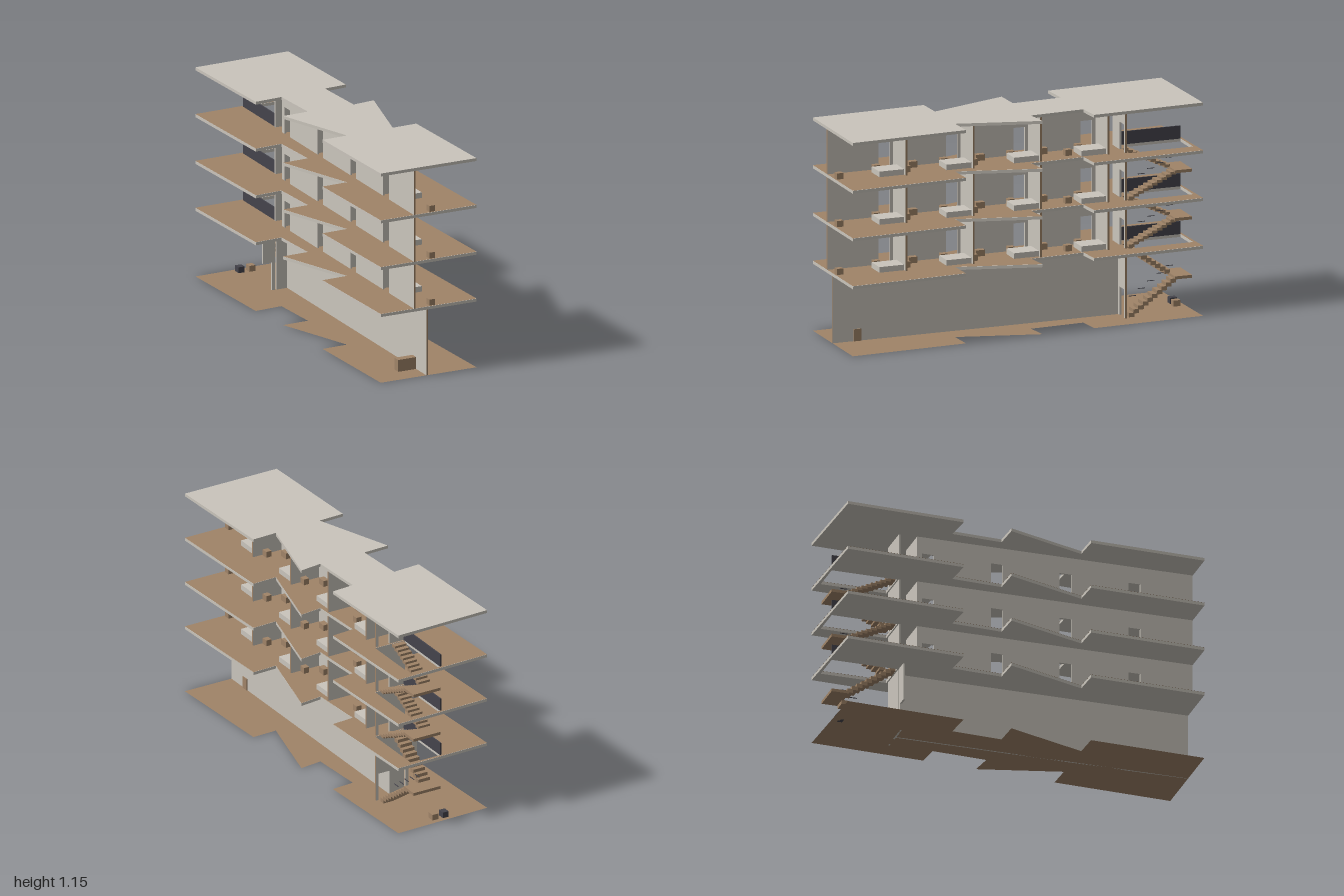
import * as THREE from 'three';

export function createModel() {
  const root = new THREE.Group();
  root.name = 'building';
  const make = (name, color, side) => {
    const m = new THREE.MeshStandardMaterial({ color });
    m.name = name;
    if (side) m.side = side;
    return m;
  };
  const concrete = make('concrete', 0xcac5bc);
  const wood = make('wood', 0xa08468, THREE.DoubleSide);
  const dark = make('darkMetal', 0x45444c);

  // Box given by its limits on each axis
  const box = (name, mat, x0, x1, y0, y1, z0, z1, parent = root) => {
    const m = new THREE.Mesh(new THREE.BoxGeometry(x1 - x0, y1 - y0, z1 - z0), mat);
    m.position.set((x0 + x1) / 2, (y0 + y1) / 2, (z0 + z1) / 2);
    m.name = name;
    parent.add(m);
    return m;
  };
  // Walls whose cut ends are timber: +x end, or +z end
  const endX = [wood, concrete, concrete, concrete, concrete, concrete];
  const endZ = [concrete, concrete, concrete, concrete, wood, concrete];

  // Floor outline, x and z
  const plan = [
    [-0.32, -0.985], [0.23, -1], [0.252, -0.38], [0.125, -0.37], [0.14, -0.07], [0.265, -0.085],
    [0.15, 0.36], [0.29, 0.355], [0.315, 1], [-0.245, 1], [-0.265, 0.37], [-0.12, 0.365],
    [-0.272, -0.07], [-0.125, -0.075], [-0.14, -0.35], [-0.295, -0.34],
  ];
  const toPoints = (list) => list.map(([x, z]) => new THREE.Vector2(x, -z));
  const planShape = (withStairwell) => {
    const s = new THREE.Shape(toPoints(plan));
    if (withStairwell) {
      s.holes.push(new THREE.Path(toPoints([[-0.04, -0.62], [0.14, -0.62], [0.14, -0.98], [-0.04, -0.98]])));
    }
    return s;
  };
  const slab = (name, top, withStairwell) => {
    const g = new THREE.ExtrudeGeometry(planShape(withStairwell), { depth: 0.016, bevelEnabled: false });
    const m = new THREE.Mesh(g.rotateX(-Math.PI / 2), concrete);
    m.position.y = top - 0.016;
    m.name = name;
    root.add(m);
  };
  const flooring = (name, y, withStairwell) => {
    const m = new THREE.Mesh(new THREE.ShapeGeometry(planShape(withStairwell)).rotateX(-Math.PI / 2), wood);
    m.position.y = y;
    m.name = name;
    root.add(m);
  };

  // Two flights with a landing between, and short rail pieces
  const stairs = (y0, y1) => {
    const g = new THREE.Group();
    g.name = 'stairs';
    root.add(g);
    const n = 10, rise = (y1 - y0) / (2 * n + 1), run = 0.026;
    for (let i = 0; i < n; i++) {
      const za = -0.63 - i * run, ya = y0 + i * rise;
      box('lowerStep', wood, 0.05, 0.115, ya, ya + rise * 1.25, za - run * 1.2, za, g);
      const zb = -0.89 + i * run, yb = y0 + (n + 1) * rise + i * rise;
      box('upperStep', wood, -0.03, 0.04, yb - rise * 0.25, yb + rise, zb, zb + run * 1.2, g);
      if (i % 2) box('railPiece', dark, 0.043, 0.047, ya + 0.075, ya + 0.078, za - 0.04, za, g);
    }
    const yl = y0 + (n + 1) * rise;
    box('landing', wood, -0.04, 0.125, yl - 0.016, yl, -0.98, -0.885, g);
  };

  // Cross wall beside the stairs, with a doorway
  const stairWall = (x0, y0, y1, doorHeight) => {
    box('stairWall', concrete, x0, 0.05, y0, y1, -0.613, -0.603);
    box('stairWallLintel', concrete, 0.05, 0.115, y0 + doorHeight, y1, -0.613, -0.603);
    box('stairWallEnd', endX, 0.115, 0.13, y0, y1, -0.613, -0.603);
  };

  // Ground storey
  const levels = [0, 0.377, 0.635, 0.892, 1.15];
  flooring('groundFloor', 0, false);
  box('groundSpineWall', endZ, 0.022, 0.031, 0, 0.361, -0.603, 1);
  stairWall(-0.04, 0, 0.361, 0.153);
  box('sideDoorJamb', concrete, -0.067, -0.048, 0, 0.361, -0.613, -0.603);
  box('sideDoorLintel', concrete, -0.12, -0.067, 0.153, 0.361, -0.613, -0.603);
  box('receptionDesk', wood, -0.083, 0.036, 0, 0.065, 0.84, 0.882);
  box('woodBin', wood, -0.035, 0, 0, 0.032, -0.965, -0.925);
  box('darkBin', dark, -0.095, -0.06, 0, 0.032, -0.97, -0.93);
  stairs(0, levels[1]);

  // Upper storeys
  const bay = 0.378;
  for (let s = 1; s < 4; s++) {
    const y = levels[s], top = levels[s + 1] - 0.016;
    slab('floorSlab', y, true);
    flooring('floorCovering', y + 0.001, true);
    box('stairwellPanel', dark, -0.044, -0.037, y, y + 0.07, -0.98, -0.613);
    stairWall(-0.047, y, top, 0.15);
    if (s < 3) stairs(y, levels[s + 1]);

    for (let i = 0; i < 4; i++) {
      const zf = 1 - i * bay + (i ? -0.001 : 0), zb = 0.62 - i * bay;
      // Spine wall with a doorway in each room
      const d0 = 0.647 - i * bay, d1 = 0.712 - i * bay;
      box('spineWall', i ? concrete : endZ, -0.052, -0.043, y, top, d1, zf);
      box('doorLintel', concrete, -0.052, -0.043, y + 0.148, top, d0, d1);
      box('spineWallEnd', concrete, -0.052, -0.043, y, top, zb, d0);
      // Room divider
      box('roomDivider', endX, -0.043, 0.13, y, top, zb, zb + 0.01);
      // Furniture
      box('bed', concrete, 0.005, 0.112, y, y + 0.031, zb + 0.011, zb + 0.15);
      box('nightstand', wood, -0.035, -0.003, y, y + 0.034, zb + 0.1, zb + 0.135);
      const stool = i === 3 ? -0.325 : 0.957 - i * bay;
      box('stool', wood, 0.043, 0.075, y, y + 0.034, stool, stool + 0.036);
      if (i === 1 || i === 2) {
        const zc = 0.51 - (i - 1) * bay;
        box('cabinet', wood, -0.035, -0.003, y, y + 0.034, zc, zc + 0.048);
      }
      if (i === 3) box('cabinet', wood, -0.035, -0.003, y, y + 0.034, -0.22, -0.175);
    }
  }
  slab('roof', levels[4], false);
  return root;
}
